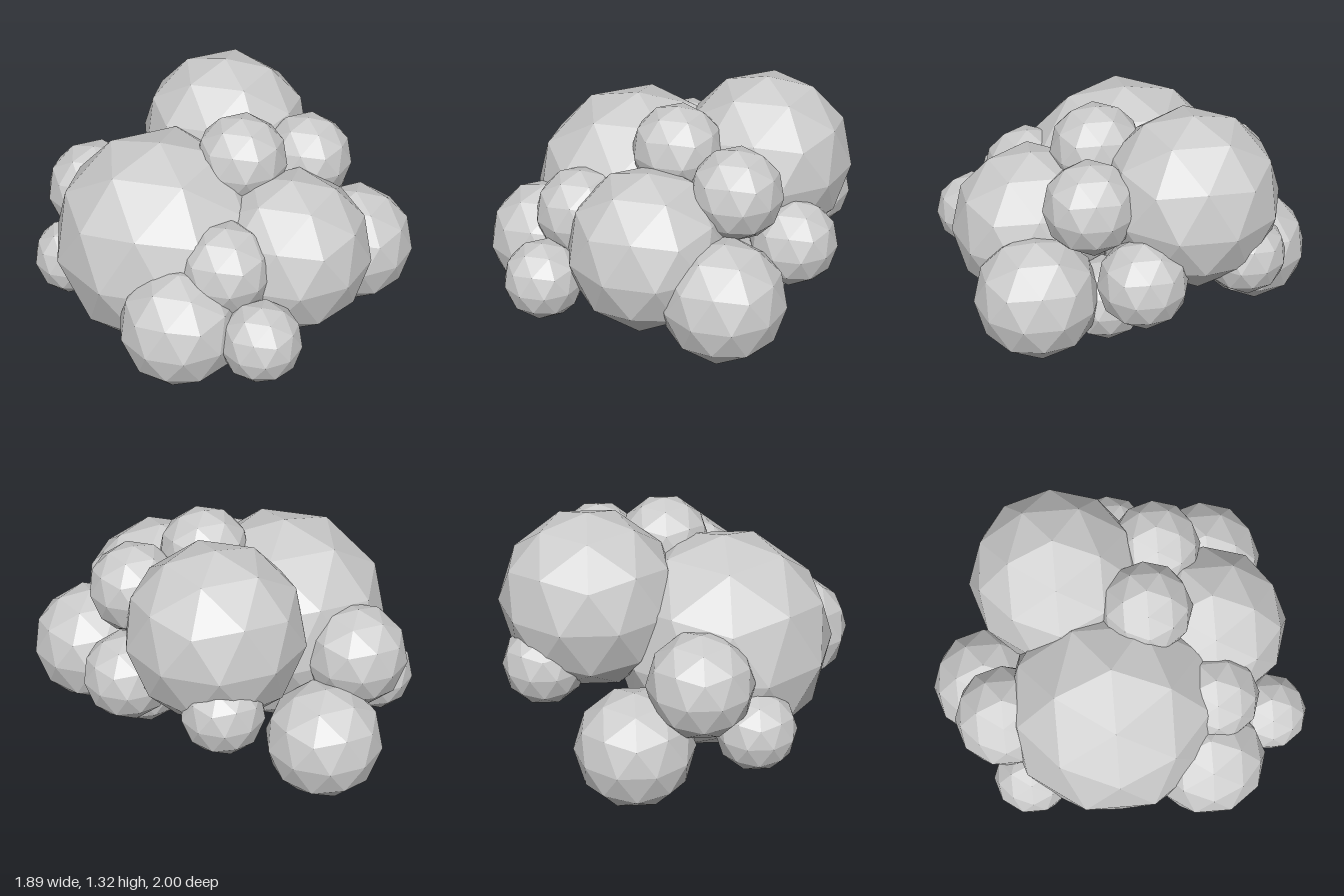
import * as THREE from 'three';

// Cluster of faceted puffs: [name, x, y, z, radius]
const PUFFS = [
  // main mass
  ['largePuffRight', -0.34, 0.61, 0.0, 0.57],
  ['largePuffBack', 0.19, 0.87, -0.42, 0.455],
  ['largePuffFront', 0.2, 0.635, 0.39, 0.42],
  // medium puffs around the sides
  ['sidePuffLeft', 0.63, 0.49, 0.28, 0.315],
  ['frontPuffRight', -0.46, 0.47, 0.54, 0.305],
  ['backPuffLow', -0.28, 0.305, -0.715, 0.3],
  ['backPuffRight', -0.53, 0.635, -0.52, 0.265],
  // small puffs filling the gaps
  ['frontPuffSmall', -0.14, 0.463, 0.8, 0.205],
  ['frontPuffMiddle', -0.2, 0.71, 0.5, 0.24],
  ['topPuff', 0.065, 1.03, 0.08, 0.237],
  ['upperPuffLeft', 0.455, 0.922, 0.04, 0.237],
  ['sidePuffSmallLeft', 0.59, 0.6, -0.24, 0.227],
  ['lowerPuffLeft', 0.45, 0.39, -0.03, 0.215],
  ['backPuffSmallLeft', 0.26, 0.61, -0.71, 0.21],
  ['sidePuffSmallRight', -0.74, 0.365, -0.34, 0.205],
];

export function createModel() {
  const group = new THREE.Group();
  group.name = 'puffCluster';
  const material = new THREE.MeshStandardMaterial({ color: 0xcccccc, flatShading: true });

  // Low-poly ball turned so that one corner points straight up
  const ball = new THREE.IcosahedronGeometry(1, 1);
  ball.rotateX(-Math.atan((1 + Math.sqrt(5)) / 2));

  for (const [name, x, y, z, radius] of PUFFS) {
    const puff = new THREE.Mesh(ball, material);
    puff.name = name;
    puff.position.set(x, y, z);
    puff.scale.setScalar(radius);
    group.add(puff);
  }
  return group;
}
